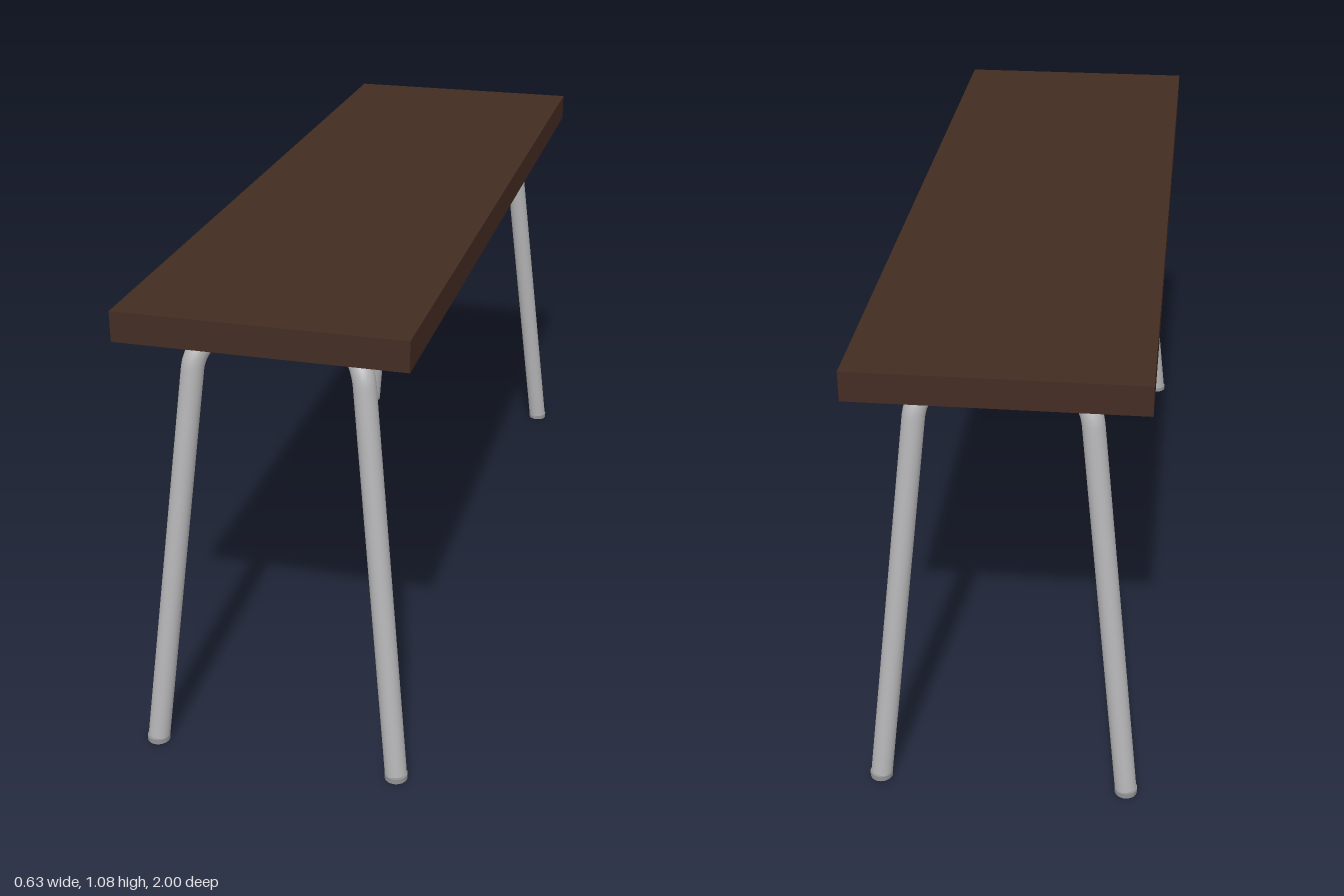
import * as THREE from 'three';

const R = 0.025; // tube radius
const RAIL_Y = 0.987;
const HUB_Z = 0.685; // where each pair of legs meets the rail

export function createModel() {
  const wood = new THREE.MeshStandardMaterial({ color: 0x432c22 });
  wood.name = 'darkWood';
  const metal = new THREE.MeshStandardMaterial({ color: 0xb4b4b6 });
  metal.name = 'greyMetal';
  const rubber = new THREE.MeshStandardMaterial({ color: 0x929294 });
  rubber.name = 'footGrey';

  const model = new THREE.Group();
  model.name = 'benchTable';
  const add = (geometry, material, name, x, y, z, parent = model) => {
    const mesh = new THREE.Mesh(geometry, material);
    mesh.name = name;
    mesh.position.set(x, y, z);
    parent.add(mesh);
    return mesh;
  };

  // Slab top
  add(new THREE.BoxGeometry(0.634, 0.068, 2), wood, 'tabletop', 0, 1.046, 0);

  // Lengthwise rail beneath the top
  const rail = new THREE.CylinderGeometry(R, R, HUB_Z * 2, 32).rotateX(Math.PI / 2);
  add(rail, metal, 'centreRail', 0, RAIL_Y, 0);

  // Bent legs run diagonally out from the rail ends, then splay down
  const footY = 0.012;
  for (const sx of [1, -1]) {
    for (const sz of [1, -1]) {
      const at = (d, y) => new THREE.Vector3(sx * d, y, sz * (HUB_Z + d));
      const foot = at(0.284, footY);
      const corner = at(0.183, RAIL_Y);
      const bendLow = corner.clone().lerp(foot, 0.075);
      const bendTop = at(0.13, RAIL_Y);
      const path = new THREE.CurvePath();
      path.add(new THREE.LineCurve3(foot, bendLow));
      path.add(new THREE.CubicBezierCurve3(
        bendLow, bendLow.clone().lerp(corner, 0.58),
        bendTop.clone().lerp(corner, 0.58), bendTop));
      path.add(new THREE.LineCurve3(bendTop, at(0, RAIL_Y)));

      const leg = new THREE.Group();
      leg.name = (sz > 0 ? 'front' : 'back') + (sx > 0 ? 'Left' : 'Right') + 'Leg';
      model.add(leg);
      add(new THREE.TubeGeometry(path, 96, R, 24, false), metal, 'legTube', 0, 0, 0, leg);
      // Flat foot cap
      add(new THREE.CylinderGeometry(R + 0.001, R + 0.001, footY, 24), rubber, 'footCap',
        sx * 0.285, footY / 2, sz * (HUB_Z + 0.285), leg);
    }
  }

  // Rounded joints where the legs meet the rail
  for (const sz of [1, -1]) {
    add(new THREE.SphereGeometry(R, 24, 16), metal, 'railJoint', 0, RAIL_Y, sz * HUB_Z);
  }
  return model;
}
